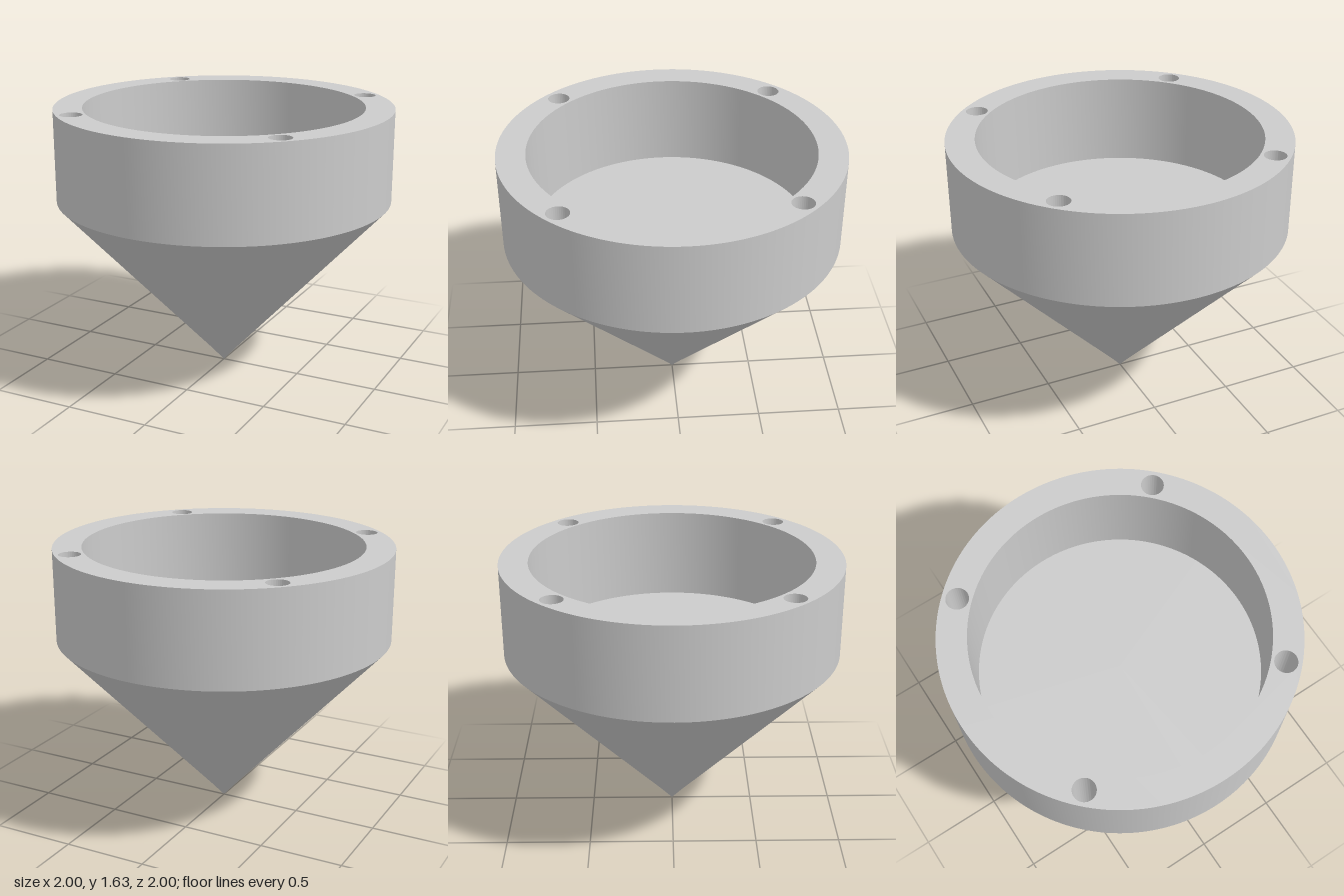
import * as THREE from 'three';
import { toCreasedNormals } from 'three/addons/utils/BufferGeometryUtils.js';

const RIM_Y = 1.63, FLOOR_Y = 1.08, OUTER = 1, INNER = 0.83;
const HOLE_R = 0.065, HOLE_POS = 0.645;

function circle(PathType, x, y, r) {
  const path = new PathType();
  path.absarc(x, y, r, 0, Math.PI * 2, false);
  return path;
}

export function createModel() {
  const model = new THREE.Group();
  const material = new THREE.MeshStandardMaterial({ color: 0xcccccc });
  const add = (name, geometry) => {
    const mesh = new THREE.Mesh(geometry, material);
    mesh.name = name;
    model.add(mesh);
    return mesh;
  };

  // Thick upright wall with four holes sunk into its rim
  const ring = circle(THREE.Shape, 0, 0, OUTER);
  ring.holes.push(circle(THREE.Path, 0, 0, INNER));
  for (const sx of [-1, 1]) {
    for (const sz of [-1, 1]) {
      ring.holes.push(circle(THREE.Path, sx * HOLE_POS, sz * HOLE_POS, HOLE_R));
    }
  }
  const wall = new THREE.ExtrudeGeometry(ring, {
    depth: RIM_Y - FLOOR_Y, bevelEnabled: false, curveSegments: 96,
  });
  wall.rotateX(-Math.PI / 2);
  wall.translate(0, FLOOR_Y, 0);
  add('wall', toCreasedNormals(wall, 0.5));

  // Pointed underside
  const cone = new THREE.LatheGeometry(
    [new THREE.Vector2(0, 0), new THREE.Vector2(0.08, 0.09), new THREE.Vector2(OUTER, FLOOR_Y)], 96);
  add('cone', cone);

  // Flat floor of the cavity and of the rim holes
  const floor = new THREE.CircleGeometry(OUTER, 96);
  floor.rotateX(-Math.PI / 2);
  add('floor', floor).position.y = FLOOR_Y;

  return model;
}
